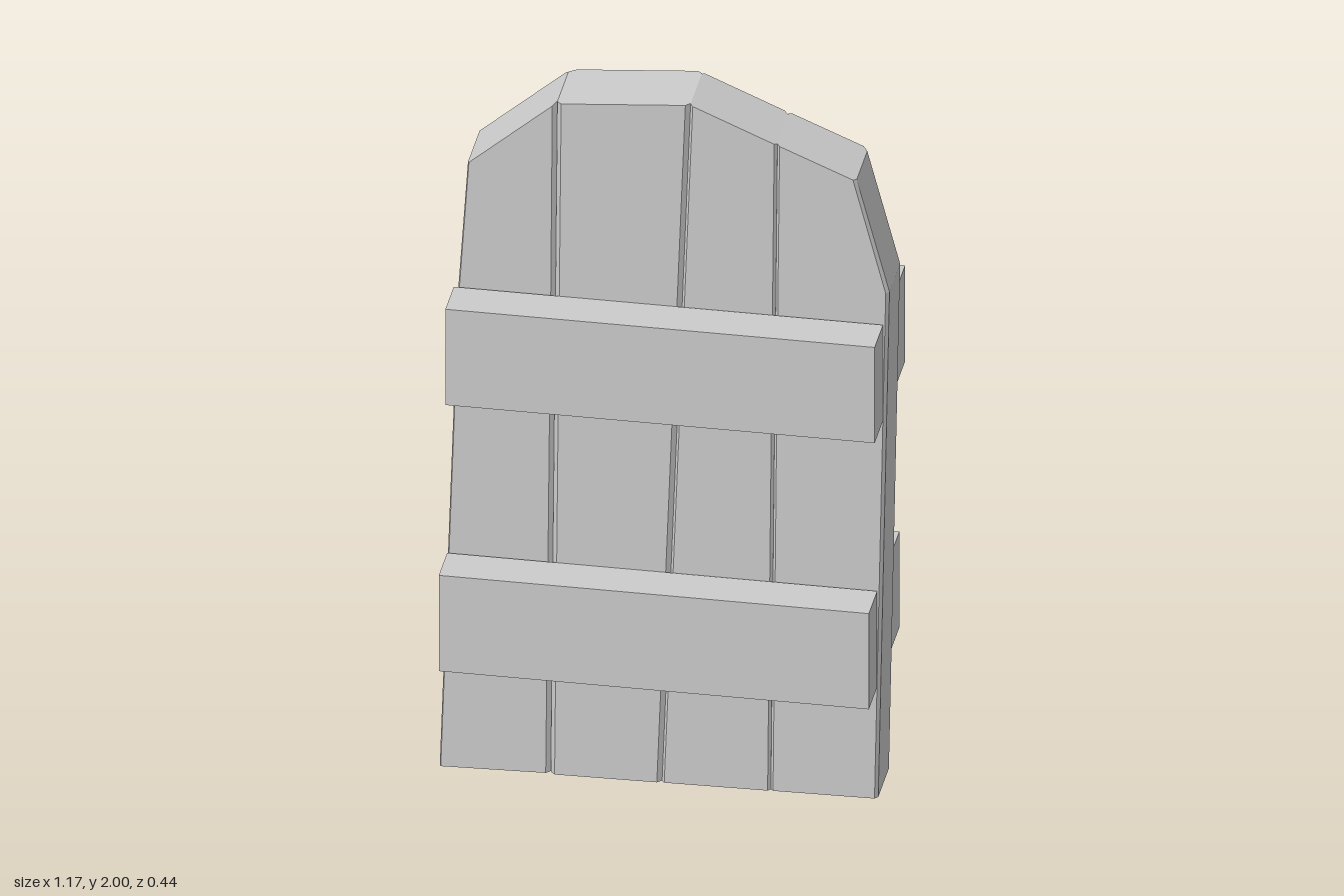
import * as THREE from 'three';

const material = new THREE.MeshStandardMaterial({ color: 0xcccccc, flatShading: true });

// Plank lofted through rows [xLeft, yLeft, xRight, yRight, zBack], front at zFront.
// bevels: [frontLeft, frontRight, backRight, backLeft] as [across, depth]
function plank(name, rows, zFront, bevels) {
  const [fl, fr, br, bl] = bevels;
  const positions = [];
  const index = [];
  for (const [xl, yl, xr, yr, zBack] of rows) {
    const width = xr - xl;
    const section = [
      [0, zFront - fl[1]], [fl[0], zFront],
      [width - fr[0], zFront], [width, zFront - fr[1]],
      [width, zBack + br[1]], [width - br[0], zBack],
      [bl[0], zBack], [0, zBack + bl[1]],
    ];
    for (const [dx, z] of section) positions.push(xl + dx, yl + (yr - yl) * dx / width, z);
  }
  const n = 8;
  for (let i = 0; i < rows.length - 1; i++) {
    for (let j = 0; j < n; j++) {
      const a = i * n + j, b = i * n + (j + 1) % n;
      index.push(a, b, b + n, a, b + n, a + n);
    }
  }
  // End caps
  const top = (rows.length - 1) * n;
  for (let j = 1; j < n - 1; j++) {
    index.push(top, top + j, top + j + 1);
    index.push(0, j + 1, j);
  }
  const indexed = new THREE.BufferGeometry();
  indexed.setAttribute('position', new THREE.Float32BufferAttribute(positions, 3));
  indexed.setIndex(index);
  const geometry = indexed.toNonIndexed();
  geometry.computeVertexNormals();
  const mesh = new THREE.Mesh(geometry, material);
  mesh.name = name;
  return mesh;
}

function batten(name, x0, x1, y0, y1, z0, z1) {
  const mesh = new THREE.Mesh(new THREE.BoxGeometry(x1 - x0, y1 - y0, z1 - z0), material);
  mesh.position.set((x0 + x1) / 2, (y0 + y1) / 2, (z0 + z1) / 2);
  mesh.name = name;
  return mesh;
}

export function createModel() {
  const door = new THREE.Group();
  door.name = 'plankDoor';

  // Four uneven vertical planks forming the arched door leaf
  const none = [0, 0], small = [0.007, 0.008], wide = [0.012, 0.012];
  door.add(
    plank('outerRightPlank', [
      [-0.585, 0, -0.297, 0.008, -0.085],
      [-0.537, 1.4, -0.284, 1.4, -0.085],
      [-0.512, 1.77, -0.28, 1.97, -0.085],
    ], 0.088, [[0.004, 0.008], wide, small, none]),
    plank('innerRightPlank', [
      [-0.297, 0.008, -0.008, 0.012, -0.092],
      [-0.28, 1.97, 0.066, 2, -0.09],
    ], 0.093, [wide, wide, wide, [0.02, 0.012]]),
    plank('innerLeftPlank', [
      [-0.008, 0.012, 0.274, 0.016, -0.095],
      [0.066, 2, 0.291, 1.905, -0.083],
    ], 0.092, [small, small, wide, small]),
    plank('outerLeftPlank', [
      [0.274, 0.016, 0.552, 0.02, -0.085],
      [0.287, 1.5, 0.581, 1.5, -0.085],
      [0.291, 1.905, 0.496, 1.82, -0.085],
    ], 0.091, [small, [0.008, 0.01], [0.012, 0.015], small]),
  );

  // Cross battens on both faces
  for (const [side, z0, z1] of [['front', 0.096, 0.215], ['back', -0.22, -0.1]]) {
    door.add(
      batten(side + 'UpperBatten', -0.546, 0.567, 1.13, 1.41, z0, z1),
      batten(side + 'LowerBatten', -0.563, 0.552, 0.35, 0.63, z0, z1),
    );
  }
  return door;
}
